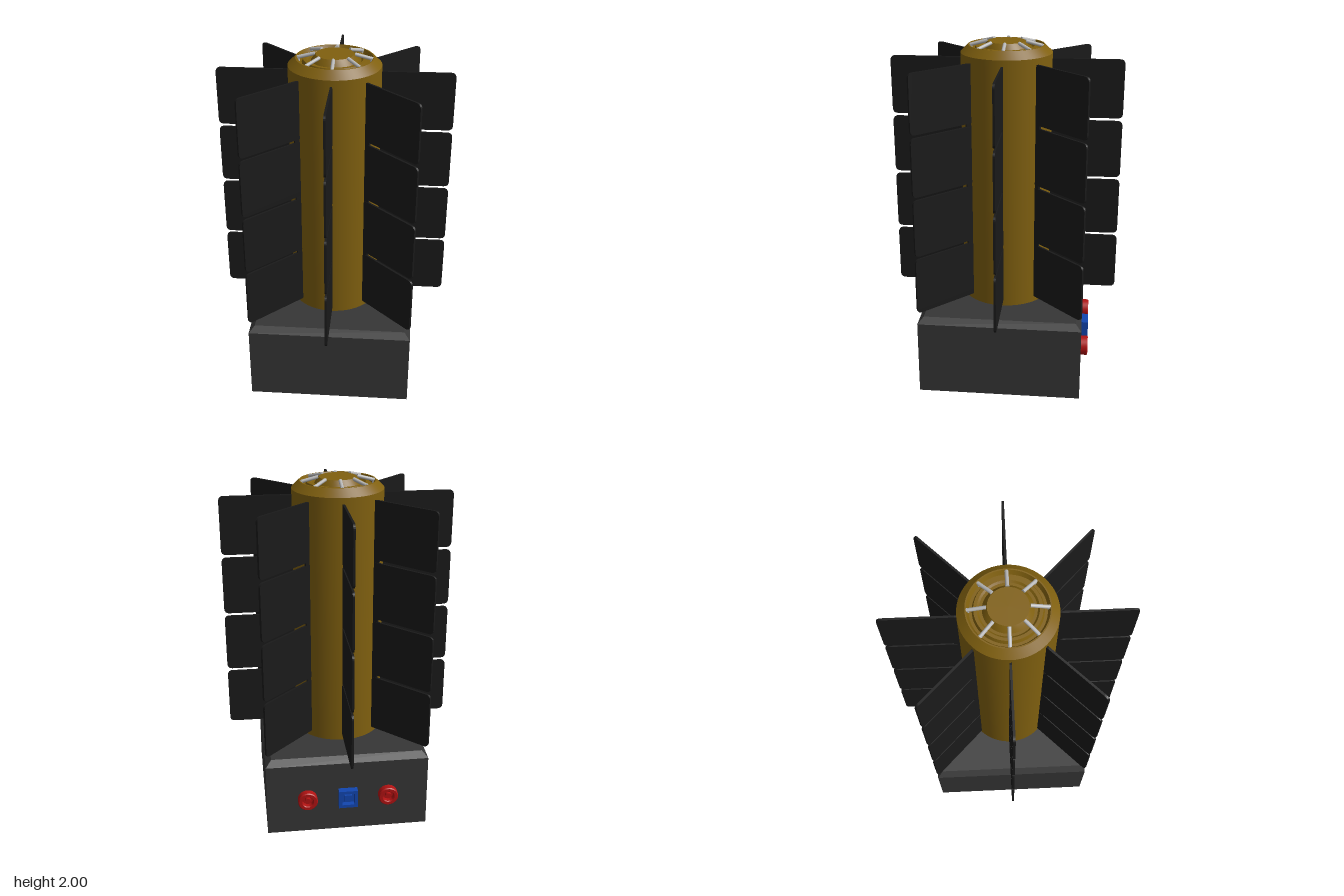
import * as THREE from 'three';
import { toCreasedNormals } from 'three/addons/utils/BufferGeometryUtils.js';

const material = (color) => new THREE.MeshStandardMaterial({ color });

export function createModel() {
  const model = new THREE.Group();
  const brass = material(0x80600f);
  const black = material(0x1a1a1a);
  const grey = material(0x363636);
  const silver = material(0xb8b8b8);
  const red = material(0xb01212);
  const blue = material(0x1246b0);

  const add = (parent, name, geometry, mat, x = 0, y = 0, z = 0) => {
    const mesh = new THREE.Mesh(geometry, mat);
    mesh.name = name;
    mesh.position.set(x, y, z);
    parent.add(mesh);
    return mesh;
  };
  const lathe = (points, segments = 64) => toCreasedNormals(
    new THREE.LatheGeometry(points.map(([r, y]) => new THREE.Vector2(r, y)), segments), 0.45);

  // Square base with a chamfered upper edge
  const block = (half, topHalf, height) => {
    const g = new THREE.CylinderGeometry(topHalf * Math.SQRT2, half * Math.SQRT2, height, 4);
    g.rotateY(Math.PI / 4);
    return toCreasedNormals(g, 0.3);
  };
  add(model, 'base', block(0.47, 0.47, 0.44), grey, 0, 0.22, 0);
  add(model, 'baseChamfer', block(0.47, 0.437, 0.035), grey, 0, 0.4575, 0);

  // Column with a chamfered rim, a recessed groove and a stepped centre boss
  add(model, 'column', lathe([
    [0, 0.46], [0.258, 0.46], [0.258, 1.93], [0.215, 1.972], [0.208, 1.972],
    [0.195, 1.945], [0.18, 1.945], [0.172, 1.965], [0.155, 1.965], [0.145, 1.955],
    [0.13, 1.955], [0.117, 1.975], [0.105, 1.99], [0, 1.99],
  ]), brass);

  // Sloping spokes between the rim and the boss
  const spokes = new THREE.Group();
  spokes.name = 'topSpokes';
  model.add(spokes);
  const spokeSlope = Math.atan2(0.025, 0.098);
  for (let i = 0; i < 8; i++) {
    const pivot = new THREE.Group();
    pivot.rotation.y = i * Math.PI / 4;
    const g = new THREE.CylinderGeometry(0.01, 0.01, 0.1, 10);
    g.rotateZ(Math.PI / 2);
    const spoke = add(pivot, 'spoke', g, silver, 0.157, 1.977, 0);
    spoke.rotation.z = -spokeSlope;
    add(pivot, 'spokeFoot', new THREE.CylinderGeometry(0.009, 0.009, 0.035, 10), silver, 0.2, 1.955, 0);
    spokes.add(pivot);
  }

  // Rounded panel outline shared by all the fins
  const inner = 0.24, outer = 0.66, h = 0.334, r = 0.03, thickness = 0.012;
  const outline = new THREE.Shape();
  outline.moveTo(inner + r, 0);
  outline.lineTo(outer - r, 0);
  outline.quadraticCurveTo(outer, 0, outer, r);
  outline.lineTo(outer, h - r);
  outline.quadraticCurveTo(outer, h, outer - r, h);
  outline.lineTo(inner + r, h);
  outline.quadraticCurveTo(inner, h, inner, h - r);
  outline.lineTo(inner, r);
  outline.quadraticCurveTo(inner, 0, inner + r, 0);
  const panel = new THREE.ExtrudeGeometry(outline, {
    depth: thickness, bevelEnabled: false, curveSegments: 6,
  });
  panel.translate(0, 0, -thickness / 2);

  // Eight radial fins, each four panels on one spine
  for (let i = 0; i < 8; i++) {
    const fin = new THREE.Group();
    fin.name = 'fin';
    fin.rotation.y = i * Math.PI / 4;
    for (let j = 0; j < 4; j++) add(fin, 'finPanel', panel, black, 0, 0.51 + j * 0.351, 0);
    add(fin, 'finSpine', new THREE.BoxGeometry(0.05, 1.35, thickness * 0.8), black, 0.265, 1.2, 0);
    model.add(fin);
  }

  // Round sockets on the back: a collar around a recessed pin
  for (const side of [-1, 1]) {
    const socket = new THREE.Group();
    socket.name = 'roundSocket';
    socket.position.set(side * 0.235, 0.22, -0.47);
    socket.rotation.x = -Math.PI / 2;
    add(socket, 'socketCollar', lathe([
      [0.057, -0.01], [0.057, 0.034], [0.052, 0.04], [0.035, 0.04], [0.031, 0.035], [0.031, 0.008], [0, 0.008],
    ], 32), red);
    add(socket, 'socketPin', new THREE.CylinderGeometry(0.017, 0.017, 0.022, 20), red, 0, 0.019, 0);
    model.add(socket);
  }

  // Square socket on the back: a frame around a recessed block
  const square = (half, Type) => {
    const s = new Type();
    s.moveTo(-half, -half);
    s.lineTo(half, -half);
    s.lineTo(half, half);
    s.lineTo(-half, half);
    s.closePath();
    return s;
  };
  const frame = square(0.055, THREE.Shape);
  frame.holes.push(square(0.036, THREE.Path));
  add(model, 'squareSocketFrame',
    new THREE.ExtrudeGeometry(frame, { depth: 0.05, bevelEnabled: false }), blue, 0, 0.22, -0.51);
  add(model, 'squareSocketFloor', new THREE.BoxGeometry(0.08, 0.08, 0.02), blue, 0, 0.22, -0.47);
  add(model, 'squareSocketCore', new THREE.BoxGeometry(0.042, 0.042, 0.03), blue, 0, 0.22, -0.485);

  return model;
}
